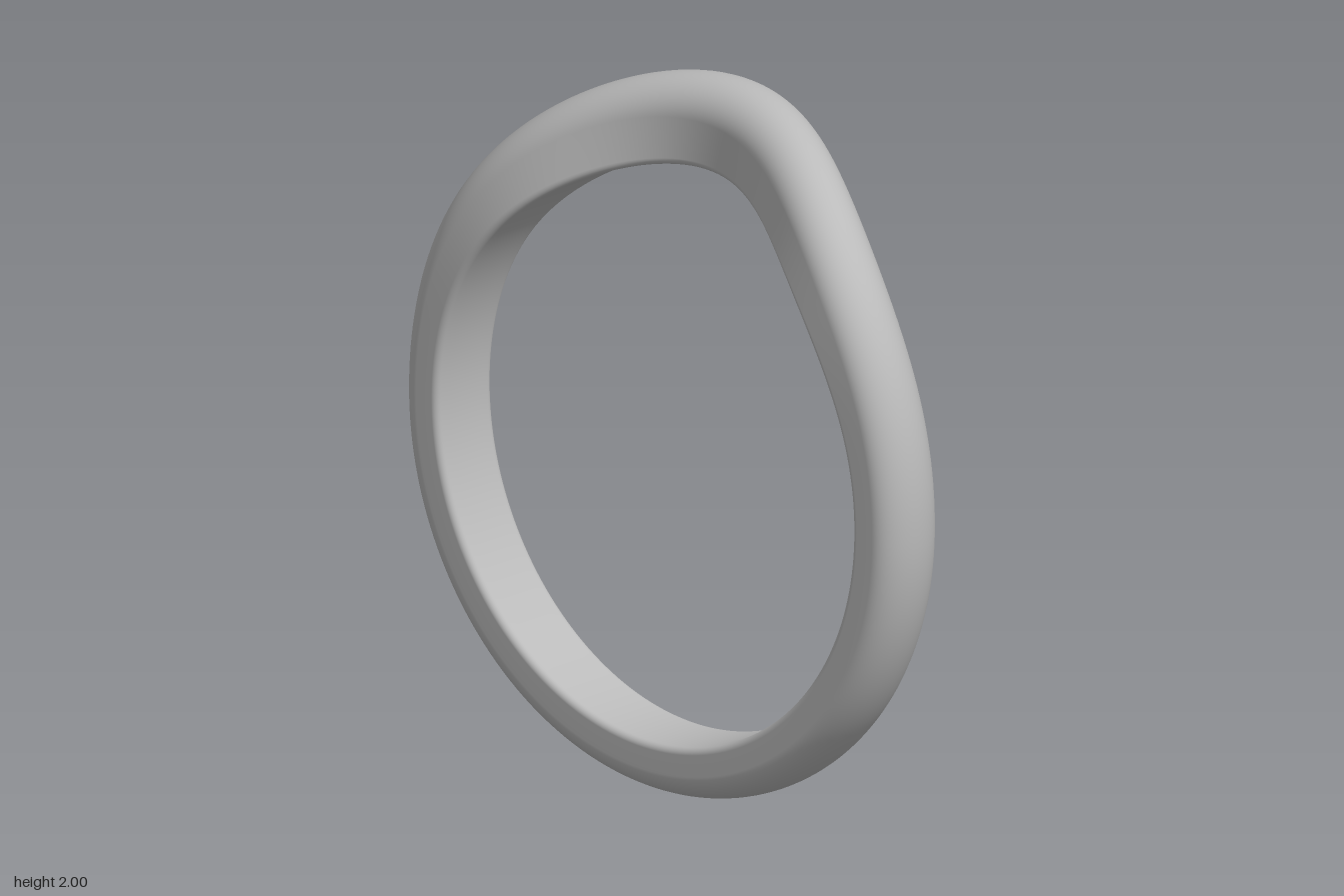
import * as THREE from 'three';

const CENTRE_Y = 0.96;
const INNER_RADIUS = 0.797;
const HALF_WIDTH = 0.11;
const CORNER = 0.02;

// Cross-section [z, height above inner radius]: flat inside, softly rounded outside
function crossSection(thickness) {
  const points = [];
  const dome = 0.08 + (thickness - 0.16) * 0.3;
  const arc = (cz, cr, rz, rr, from, to, steps) => {
    for (let i = 0; i <= steps; i++) {
      const a = from + ((to - from) * i) / steps;
      points.push([cz + rz * Math.cos(a), cr + rr * Math.sin(a)]);
    }
  };
  const flat = HALF_WIDTH - CORNER;
  for (let i = 1; i < 6; i++) points.push([-flat + (2 * flat * i) / 6, 0]);
  arc(flat, CORNER, CORNER, CORNER, -Math.PI / 2, 0, 6);
  arc(0, thickness - dome, HALF_WIDTH, dome, 0, Math.PI, 28);
  arc(-flat, CORNER, CORNER, CORNER, Math.PI, Math.PI * 1.5, 6);
  return points;
}

// Sweep the section round a circle, bending the top backwards and thickening it
function bentRing(segments) {
  const positions = [];
  const indices = [];
  let count = 0;
  for (let i = 0; i < segments; i++) {
    const angle = (i / segments) * Math.PI * 2;
    const up = Math.max(0, Math.cos(angle));
    const zCentre = 0.115 - 0.23 * Math.pow(up, 6);
    const section = crossSection(0.163 - 0.005 * (1 - Math.abs(Math.cos(angle))) + 0.08 * up * up);
    count = section.length;
    for (const [z, height] of section) {
      const r = INNER_RADIUS + height;
      positions.push(r * Math.sin(angle), CENTRE_Y + r * Math.cos(angle), zCentre + z);
    }
  }
  for (let i = 0; i < segments; i++) {
    const next = (i + 1) % segments;
    for (let j = 0; j < count; j++) {
      const k = (j + 1) % count;
      const a = i * count + j, b = next * count + j;
      const c = next * count + k, d = i * count + k;
      indices.push(a, b, c, a, c, d);
    }
  }
  const geometry = new THREE.BufferGeometry();
  geometry.setAttribute('position', new THREE.Float32BufferAttribute(positions, 3));
  geometry.setIndex(indices);
  geometry.computeVertexNormals();
  return geometry;
}

export function createModel() {
  const group = new THREE.Group();
  group.name = 'curvedRing';
  const grey = new THREE.MeshStandardMaterial({ color: 0xbababa });
  grey.name = 'grey';

  const band = new THREE.Mesh(bentRing(192), grey);
  band.name = 'band';
  group.add(band);
  return group;
}
